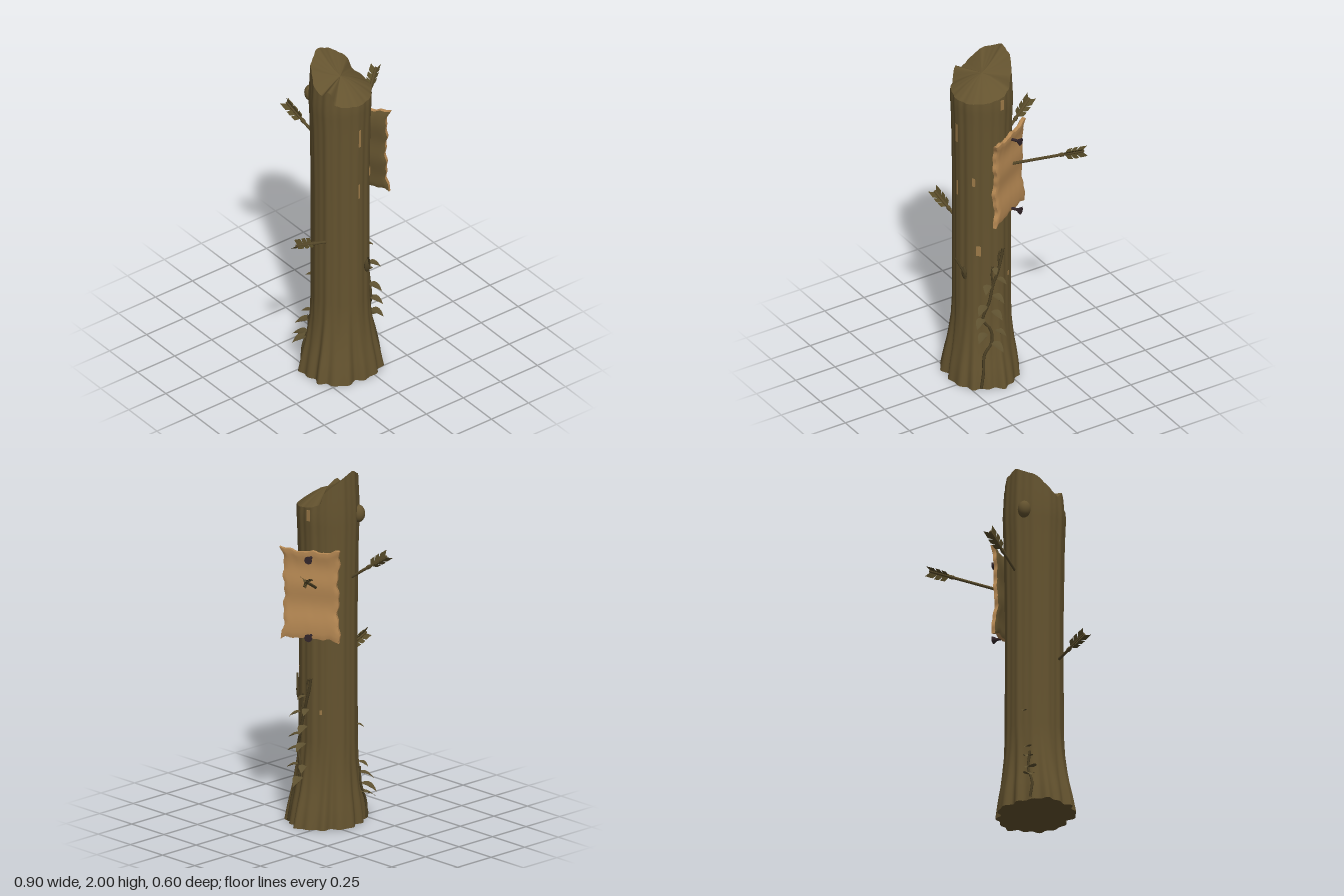
import * as THREE from 'three';

const mat = (name, color, side = THREE.FrontSide) => {
  const m = new THREE.MeshStandardMaterial({ color, side });
  m.name = name;
  return m;
};
const V = (x, y, z) => new THREE.Vector3(x, y, z);
const rad = THREE.MathUtils.degToRad;

// Linear interpolation through [key, value] pairs
function sample(keys, t) {
  for (let i = 1; i < keys.length; i++) {
    if (t <= keys[i][0]) {
      const [a, va] = keys[i - 1], [b, vb] = keys[i];
      return va + (vb - va) * Math.max(0, (t - a) / (b - a));
    }
  }
  return keys[keys.length - 1][1];
}

// Trunk radius by height, and height of the broken rim by angle (0 = +x, 90 = front)
const PROFILE = [[0, 0.212], [0.03, 0.208], [0.1, 0.198], [0.2, 0.179], [0.35, 0.162],
  [0.5, 0.156], [1.2, 0.156], [1.6, 0.162], [1.75, 0.168], [1.8, 0.165], [2, 0.155]];
const RIM = [[0, 1.8], [30, 1.79], [60, 1.78], [90, 1.78], [120, 1.79], [138, 1.8], [145, 1.87], [152, 1.88],
  [165, 1.84], [180, 1.86], [195, 1.9], [210, 1.94], [235, 1.97], [257, 2], [285, 1.965],
  [310, 1.92], [322, 1.89], [328, 1.83], [345, 1.81], [360, 1.8]];

function surface(deg, y, scale = 1) {
  const t = rad(deg);
  const flare = Math.max(0, 1 - y / 0.45);
  let r = sample(PROFILE, y);
  r += flare * (0.009 * Math.cos(16 * t) + 0.008 * Math.cos(5 * t + 1) + 0.006 * Math.cos(9 * t));
  r += 0.0025 * Math.cos(11 * t + 2) + 0.0015 * Math.cos(23 * t);
  const sx = 1 + 0.07 * flare + 0.03 * Math.max(0, y - 1.5);
  return V(-0.075 + r * sx * scale * Math.cos(t), y, 0.085 + 0.01 * flare + r * scale * Math.sin(t) * (1 - 0.06 * flare));
}

// Closed rings stacked into a surface; point(row, degrees) gives each vertex
function rings(rows, point, n = 120) {
  const pos = [], idx = [];
  for (let j = 0; j < rows; j++)
    for (let i = 0; i < n; i++) pos.push(...point(j, i * 360 / n).toArray());
  for (let j = 0; j < rows - 1; j++) {
    for (let i = 0; i < n; i++) {
      const k = (i + 1) % n;
      const a = j * n + i, b = j * n + k, c = a + n, d = b + n;
      idx.push(a, c, b, b, c, d);
    }
  }
  const g = new THREE.BufferGeometry();
  g.setAttribute('position', new THREE.Float32BufferAttribute(pos, 3));
  g.setIndex(idx);
  g.computeVertexNormals();
  return g;
}

export function createModel() {
  const root = new THREE.Group();
  const bark = mat('bark', 0x64532f);
  const tan = mat('parchment', 0xb88a54);
  const chipMat = mat('bare wood', 0x9c7a48);
  const iron = mat('dark iron', 0x33262a);
  const vineMat = mat('vine', 0x4c4024);
  const shaftMat = mat('arrow wood', 0x584a2a);
  const leafMat = mat('leaf', 0x5e5130, THREE.DoubleSide);
  const featherMat = mat('feather', 0x574b28, THREE.DoubleSide);
  const add = (parent, name, geo, m) => {
    const mesh = new THREE.Mesh(geo, m);
    mesh.name = name;
    parent.add(mesh);
    return mesh;
  };

  // Trunk: flared side, sloping broken top, flat underside
  const levels = [0, 0.03, 0.07, 0.12, 0.18, 0.25, 0.35, 0.48, 0.8, 1.2, 1.6, 1.7];
  add(root, 'trunk', rings(levels.length + 3, (j, d) => {
    if (j < levels.length) return surface(d, levels[j]);
    const f = (j - levels.length + 1) / 3;
    return surface(d, 1.7 + (sample(RIM, d) - 1.7) * f);
  }), bark);
  const cap = [1, 0.85, 0.6, 0.3, 0.001];
  add(root, 'brokenTop', rings(cap.length, (j, d) => {
    const h = sample(RIM, d), p = surface(d, h, cap[j]);
    p.y = 1.885 + (h - 1.885) * Math.pow(cap[j], 1.4);
    return p;
  }), bark);
  add(root, 'trunkBase', rings(2, (j, d) => surface(d, 0, j ? 1 : 0.001)), bark);

  // Burl near the top at the back
  const burl = add(root, 'burl', new THREE.SphereGeometry(0.036, 16, 12), bark);
  burl.position.copy(surface(235, 1.74));
  burl.scale.y = 1.35;

  // Bare chips in the bark: angle, height, width, length
  for (const [d, y, w, h] of [[88, 1.56, 0.012, 0.11], [88, 1.21, 0.01, 0.09], [38, 0.84, 0.03, 0.06],
    [-8, 1.76, 0.022, 0.06], [48, 1.28, 0.016, 0.05], [-32, 0.65, 0.012, 0.025]]) {
    const chip = add(root, 'barkChip', new THREE.BoxGeometry(w, h, 0.006), chipMat);
    chip.position.copy(surface(d, y));
    chip.rotation.y = Math.PI / 2 - rad(d);
  }

  // Notice sheet with ragged, curled edges and a bark-coloured back
  const sheet = new THREE.Group();
  sheet.name = 'notice';
  sheet.position.set(0.103, 1.325, 0.03);
  sheet.rotation.y = rad(120);
  root.add(sheet);
  const g = new THREE.BoxGeometry(2, 2, 0.032, 24, 32, 2);
  const p = g.attributes.position;
  for (let i = 0; i < p.count; i++) {
    const u = p.getX(i), v = p.getY(i);
    const ragU = 0.005 * Math.sin(v * 9 + u * 2) + 0.004 * Math.sin(v * 21);
    const ragV = 0.005 * Math.sin(u * 8 + v) + 0.003 * Math.sin(u * 17);
    p.setXYZ(i,
      u * (0.15 + 0.016 * v ** 4 + ragU),
      v * (0.244 + 0.018 * u ** 4 + ragV),
      p.getZ(i) * (1 - 0.35 * Math.max(u ** 20, v ** 20)) + 0.012 * Math.abs(v) ** 3 + 0.004 * Math.sin(v * 7) - 0.003);
  }
  g.computeVertexNormals();
  add(sheet, 'parchment', g, [tan, tan, tan, tan, tan, bark]);

  // Nails holding the sheet
  for (const y of [0.215, -0.225]) {
    const nail = new THREE.Group();
    nail.name = 'nail';
    nail.position.set(0.005, y, 0.015);
    nail.rotation.x = Math.PI / 2;
    sheet.add(nail);
    add(nail, 'nailShank', new THREE.CylinderGeometry(0.008, 0.008, 0.05, 8), iron).position.y = 0.02;
    add(nail, 'nailHead', new THREE.CylinderGeometry(0.023, 0.009, 0.022, 8), iron).position.y = 0.05;
  }

  // Arrows: shaft, binding and three notched vanes
  const vane = new THREE.ShapeGeometry(new THREE.Shape([[0, 0], [0.032, 0.015], [0.035, 0.044], [0.012, 0.036],
    [0.035, 0.053], [0.036, 0.08], [0.012, 0.072], [0.034, 0.09], [0.033, 0.135], [0, 0.11]]
    .map(([x, y]) => new THREE.Vector2(x, y))));
  for (const [from, to] of [
    [V(0.08, 1.36, 0.015), V(0.42, 1.54, -0.25)],
    [V(-0.10, 1.38, -0.04), V(-0.165, 1.55, -0.275)],
    [V(-0.19, 0.875, 0.14), V(-0.43, 0.96, 0.16)]]) {
    const arrow = new THREE.Group();
    arrow.name = 'arrow';
    const dir = to.clone().sub(from), len = dir.length();
    arrow.position.copy(from);
    arrow.quaternion.setFromUnitVectors(V(0, 1, 0), dir.normalize());
    root.add(arrow);
    add(arrow, 'arrowShaft', new THREE.CylinderGeometry(0.008, 0.008, len, 10), shaftMat).position.y = len / 2;
    add(arrow, 'arrowBinding', new THREE.CylinderGeometry(0.011, 0.011, 0.02, 10), shaftMat).position.y = len - 0.135;
    for (let k = 0; k < 3; k++) {
      const feather = add(arrow, 'arrowVane', vane, featherMat);
      feather.position.y = len - 0.12;
      feather.rotation.y = 0.5 + k * Math.PI * 2 / 3;
    }
  }

  // Vines hugging the trunk: [angle, height] points
  const tube = (name, pts, r) => add(root, name,
    new THREE.TubeGeometry(new THREE.CatmullRomCurve3(pts), 40, r, 6), vineMat);
  const climb = (pts) => pts.map(([d, y]) => surface(d, y, 1.03));
  tube('vine', climb([[34, 0.005], [30, 0.1], [28, 0.2], [14, 0.27], [16, 0.35], [30, 0.41], [18, 0.52],
    [10, 0.62], [0, 0.7], [-8, 0.78], [-12, 0.84]]), 0.008);
  tube('vineFork', climb([[10, 0.62], [13, 0.69], [11, 0.74]]), 0.005);
  tube('vineFork', climb([[-4, 0.74], [-1, 0.79], [-5, 0.83]]), 0.005);
  tube('backVine', climb([[228, 0.01], [224, 0.1], [230, 0.2], [226, 0.3]]), 0.007);

  // Drooping leaves: angle, height, size, sideways turn
  const outline = new THREE.Shape();
  outline.moveTo(0, 0);
  outline.bezierCurveTo(0.04, 0.005, 0.035, 0.045, 0, 0.08);
  outline.bezierCurveTo(-0.035, 0.045, -0.04, 0.005, 0, 0);
  const leaf = new THREE.ShapeGeometry(outline, 8).rotateX(Math.PI / 2);
  const lp = leaf.attributes.position;
  for (let i = 0; i < lp.count; i++) {
    const z = lp.getZ(i);
    lp.setY(i, 0.4 * z - 11 * z * z - 4 * lp.getX(i) ** 2);
  }
  leaf.computeVertexNormals();
  for (const [d, y, s, turn] of [[12, 0.27, 1, 0.5], [26, 0.33, 0.9, -0.6], [5, 0.34, 0.8, 0.7], [30, 0.42, 0.9, -0.5],
    [10, 0.46, 0.9, 0.4], [26, 0.5, 0.9, -0.6], [8, 0.56, 0.9, 0.5], [20, 0.63, 0.8, -0.4], [0, 0.66, 0.7, 0.5],
    [6, 0.73, 0.6, -0.3], [232, 0.16, 1.1, 0.5], [220, 0.2, 1.1, -0.5], [229, 0.27, 1, 0.1], [226, 0.33, 0.7, -0.4],
    [235, 0.55, 0.5, 0]]) {
    const mesh = add(root, 'leaf', leaf, leafMat);
    mesh.position.copy(surface(d, y, 1.02));
    mesh.rotation.y = Math.PI / 2 - rad(d) + turn;
    mesh.scale.setScalar(s);
  }

  // Small twig at the front
  tube('twig', [V(0, 0.66, 0.235), V(0, 0.7, 0.245), V(-0.015, 0.74, 0.26), V(-0.035, 0.79, 0.28)], 0.006);
  const knot = add(root, 'twigKnot', new THREE.SphereGeometry(0.02, 12, 8), vineMat);
  knot.position.set(-0.01, 0.695, 0.238);
  knot.scale.set(1, 1.9, 0.6);

  return root;
}
